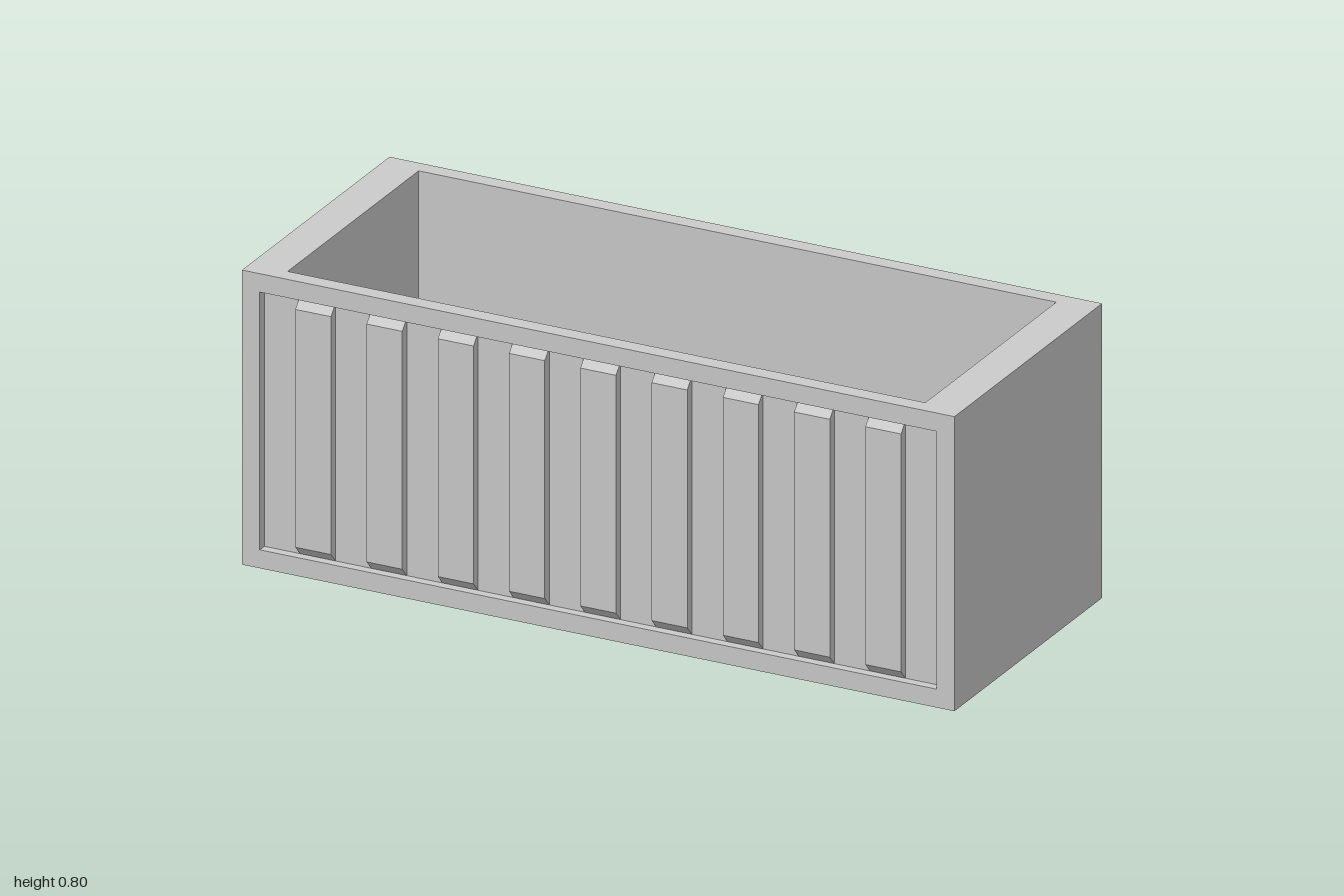
import * as THREE from 'three';

const material = new THREE.MeshStandardMaterial({ color: 0xcccccc, flatShading: true });
const RECESS = 0.025; // depth of the sunken front and back panels

function rectangle(PathType, x0, y0, x1, y1) {
  return new PathType([
    new THREE.Vector2(x0, y0), new THREE.Vector2(x1, y0),
    new THREE.Vector2(x1, y1), new THREE.Vector2(x0, y1),
  ]);
}

function extrude(shape, depth) {
  return new THREE.ExtrudeGeometry(shape, { depth, bevelEnabled: false });
}

function addPart(parent, name, geometry) {
  const mesh = new THREE.Mesh(geometry, material);
  mesh.name = name;
  parent.add(mesh);
  return mesh;
}

export function createModel() {
  const model = new THREE.Group();
  model.name = 'openBox';

  // Four walls around a shaft open at top and bottom
  const plan = rectangle(THREE.Shape, -1, -0.4 + RECESS, 1, 0.4 - RECESS);
  plan.holes.push(rectangle(THREE.Path, -0.895, -0.355, 0.895, 0.355));
  addPart(model, 'walls', extrude(plan, 0.8).rotateX(-Math.PI / 2));

  // Raised borders that leave the front and back panels sunken
  const border = rectangle(THREE.Shape, -1, 0, 1, 0.8);
  border.holes.push(rectangle(THREE.Path, -0.95, 0.05, 0.95, 0.75));
  const borderGeometry = extrude(border, RECESS);
  addPart(model, 'frontBorder', borderGeometry).position.z = 0.4 - RECESS;
  addPart(model, 'backBorder', borderGeometry).position.z = -0.4;

  // Vertical ribs with sloped ends on the front panel
  const profile = new THREE.Shape([
    new THREE.Vector2(0, 0.05), new THREE.Vector2(RECESS, 0.077),
    new THREE.Vector2(RECESS, 0.723), new THREE.Vector2(0, 0.75),
  ]);
  const ribGeometry = extrude(profile, 0.1).rotateY(-Math.PI / 2).translate(0.05, 0, 0);
  const ribs = new THREE.Group();
  ribs.name = 'frontRibs';
  for (let i = -4; i <= 4; i++) {
    addPart(ribs, 'rib', ribGeometry).position.set(i * 0.2, 0, 0.4 - RECESS);
  }
  model.add(ribs);

  return model;
}
